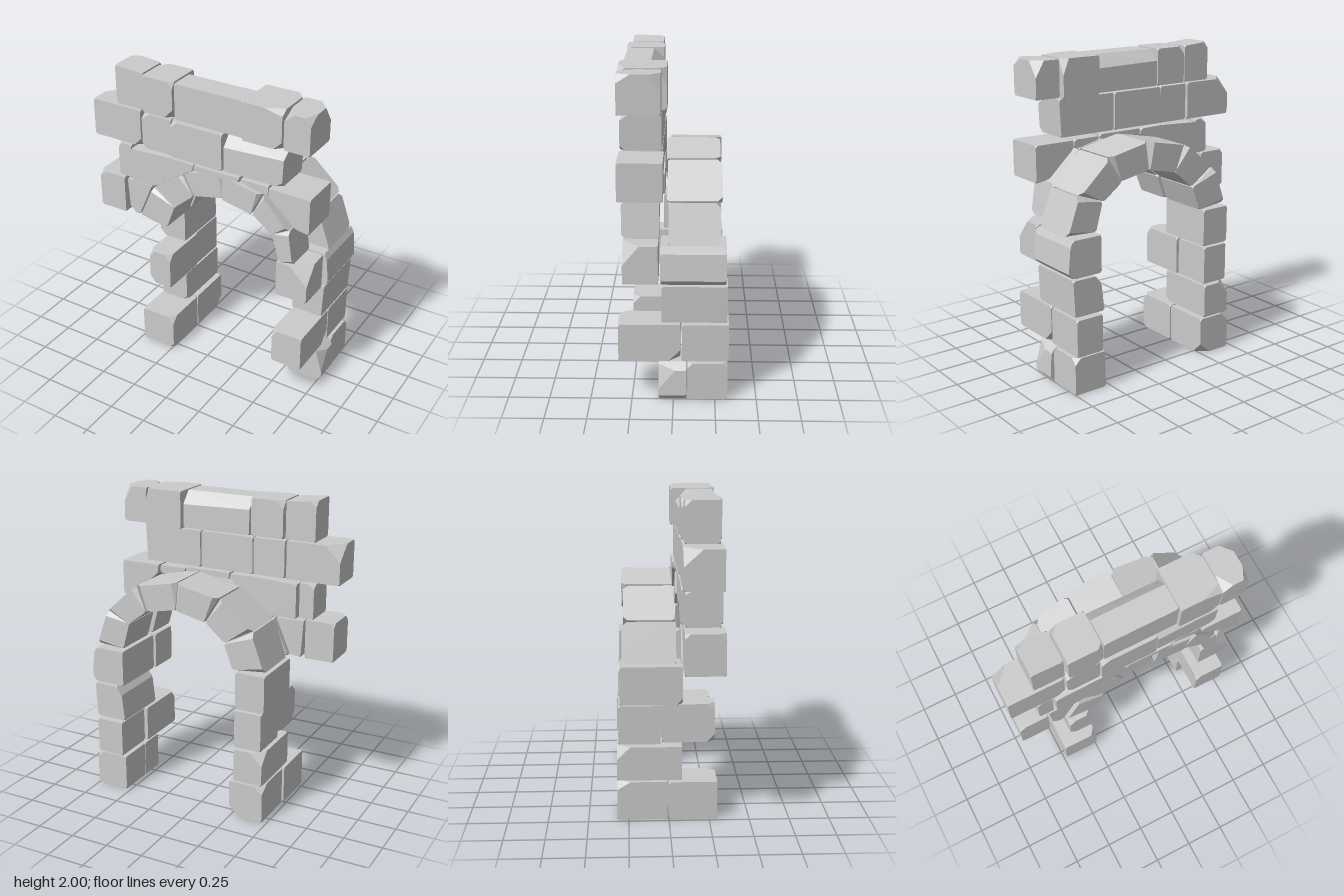
import * as THREE from 'three';
import { ConvexGeometry } from 'three/addons/geometries/ConvexGeometry.js';

const material = new THREE.MeshStandardMaterial({ color: 0xcccccc, flatShading: true });

// Counter-clockwise rectangle outline
const rect = (x0, x1, y0, y1) => [[x0, y0], [x1, y0], [x1, y1], [x0, y1]];

// Stone: convex outline from zBack to zFront with clipped corners.
// chips maps a corner (0..n-1 front, n..2n-1 back) to the cut lengths
// [towards next corner, towards previous corner, along z]; a zero makes an edge chamfer.
function stone(name, outline, zBack, zFront, chips = {}) {
  const n = outline.length;
  const points = [];
  for (let k = 0; k < 2 * n; k++) {
    const i = k % n;
    const z = k < n ? zFront : zBack;
    const corner = new THREE.Vector3(...outline[i], z);
    const targets = [
      new THREE.Vector3(...outline[(i + 1) % n], z),
      new THREE.Vector3(...outline[(i + n - 1) % n], z),
      new THREE.Vector3(...outline[i], zFront + zBack - z),
    ];
    const cut = chips[k] || [0.012, 0.012, 0.012];
    targets.forEach((target, j) => {
      if (!cut[j]) return;
      const dir = target.clone().sub(corner);
      const length = Math.min(cut[j], dir.length() * 0.9);
      points.push(corner.clone().addScaledVector(dir.normalize(), length));
    });
  }
  const mesh = new THREE.Mesh(new ConvexGeometry(points), material);
  mesh.name = name;
  return mesh;
}

function section(name, stones) {
  const group = new THREE.Group();
  group.name = name;
  stones.forEach((s, i) => group.add(stone(`${name}Stone${i + 1}`, ...s)));
  return group;
}

// Ring of wedge stones between matching inner and outer points
function archRing(name, inner, outer, zBack, zFront, trim) {
  const stones = [];
  for (let i = 0; i < inner.length - 1; i++) {
    const quad = [inner[i], outer[i], outer[i + 1], inner[i + 1]].reverse();
    const cx = quad.reduce((s, p) => s + p[0], 0) / 4;
    const cy = quad.reduce((s, p) => s + p[1], 0) / 4;
    const shrunk = quad.map(([x, y]) => [cx + (x - cx) * 0.965, cy + (y - cy) * 0.965]);
    // Outline order: inner end, outer end, outer start, inner start
    const area = shrunk.reduce((s, p, j) => {
      const q = shrunk[(j + 1) % 4];
      return s + p[0] * q[1] - q[0] * p[1];
    }, 0);
    if (area < 0) shrunk.reverse();
    stones.push([shrunk, zBack + (i % 2) * 0.01, zFront - (i % 3) * 0.008, trim]);
  }
  return section(name, stones);
}

export function createModel() {
  const model = new THREE.Group();
  model.name = 'ruinedStoneArch';

  // Pillars: courses alternate between long and short
  model.add(section('rightPillar', [
    [rect(-0.48, -0.24, 0.005, 0.25), 0.0, 0.30, { 2: [0.04, 0.05, 0.05], 1: [0.03, 0.03, 0.03] }],
    [rect(-0.47, -0.24, 0.005, 0.25), -0.32, -0.01, { 5: [0.07, 0.08, 0.07], 7: [0.05, 0.06, 0.08] }],
    [rect(-0.465, -0.27, 0.26, 0.475), -0.32, 0.08, { 1: [0.03, 0.03, 0.04], 7: [0.08, 0.08, 0.08] }],
    [rect(-0.42, -0.26, 0.49, 0.735), -0.04, 0.285, { 0: [0.04, 0.05, 0.05], 2: [0.04, 0.05, 0.04], 3: [0.05, 0.04, 0.05] }],
    [rect(-0.45, -0.27, 0.49, 0.735), -0.31, -0.05],
    [rect(-0.465, -0.27, 0.745, 0.985), -0.30, 0.085, { 0: [0.04, 0.04, 0.04] }],
  ]));
  model.add(section('leftPillar', [
    [[[0.53, 0.005], [0.74, 0.005], [0.775, 0.04], [0.765, 0.20], [0.72, 0.24], [0.53, 0.24]], -0.08, 0.09,
      { 3: [0.05, 0.12, 0.1] }],
    [rect(0.53, 0.75, 0.005, 0.24), -0.325, -0.085, { 2: [0.03, 0.03, 0.03], 6: [0.04, 0.04, 0.04] }],
    [rect(0.53, 0.735, 0.25, 0.485), -0.04, 0.33, { 5: [0.07, 0.07, 0.07], 3: [0.05, 0.04, 0.04] }],
    [rect(0.55, 0.735, 0.25, 0.485), -0.33, -0.05],
    [[[0.53, 0.505], [0.74, 0.505], [0.75, 0.735], [0.59, 0.735], [0.55, 0.68]], -0.32, 0.07],
    [rect(0.53, 0.74, 0.745, 0.98), 0.09, 0.30, { 2: [0.12, 0.12, 0.10] }],
    [[[0.54, 0.745], [0.74, 0.745], [0.775, 0.78], [0.76, 0.94], [0.74, 0.98], [0.54, 0.98]], -0.31, 0.075],
  ]));

  // Two rings of wedge stones, one behind the other
  const inner = [[-0.24, 0.99], [-0.18, 1.15], [-0.045, 1.265], [0.155, 1.31], [0.365, 1.27], [0.5, 1.17], [0.55, 0.99]];
  const backOuter = [[-0.46, 1.0], [-0.37, 1.25], [-0.14, 1.43], [0.155, 1.49], [0.45, 1.43], [0.67, 1.23], [0.755, 0.99]];
  const frontOuter = [[-0.455, 1.0], [-0.35, 1.24], [-0.15, 1.41], [0.155, 1.475], [0.43, 1.42], [0.61, 1.22], [0.645, 0.99]];
  model.add(archRing('backArch', inner, backOuter, -0.285, 0.045, {
    5: [0.03, 0, 0.03], 6: [0, 0.03, 0.03],
  }));
  model.add(archRing('frontArch', inner, frontOuter, 0.075, 0.325, {
    1: [0.025, 0, 0.025], 2: [0, 0.025, 0.025],
  }));

  // Broken wall courses around and above the arch
  model.add(section('firstCourse', [
    [rect(-0.755, -0.565, 1.005, 1.255), 0.08, 0.32, { 3: [0.04, 0.04, 0.04], 7: [0.03, 0.03, 0.03] }],
    [[[-0.535, 1.005], [-0.465, 1.01], [-0.365, 1.24], [-0.55, 1.245]], 0.085, 0.305, { 0: [0.04, 0.05, 0.05] }],
  ]));
  model.add(section('secondCourse', [
    [rect(-0.61, -0.515, 1.26, 1.485), 0.09, 0.30, { 3: [0.03, 0.03, 0.03], 7: [0.03, 0.05, 0.05] }],
    [[[-0.5, 1.255], [-0.34, 1.255], [-0.15, 1.42], [-0.045, 1.445], [-0.045, 1.485], [-0.2, 1.49], [-0.5, 1.475]], 0.07, 0.32],
    [[[-0.035, 1.45], [0.155, 1.475], [0.275, 1.46], [0.275, 1.49], [-0.035, 1.49]], 0.07, 0.325],
    [[[0.285, 1.46], [0.435, 1.425], [0.47, 1.43], [0.465, 1.48], [0.285, 1.48]], 0.07, 0.31],
    [[[0.66, 1.265], [0.75, 1.25], [0.75, 1.48], [0.48, 1.48], [0.48, 1.43]], 0.06, 0.325],
  ]));
  model.add(section('thirdCourse', [
    [rect(-0.78, -0.43, 1.505, 1.745), 0.07, 0.305, { 7: [0.1, 0.1, 0.11], 1: [0.05, 0.05, 0.04] }],
    [rect(-0.415, -0.205, 1.505, 1.74), 0.075, 0.31, { 3: [0.04, 0.06, 0.05], 0: [0.03, 0.03, 0.03] }],
    [rect(-0.2, 0.16, 1.505, 1.74), 0.07, 0.325, { 3: [0.04, 0.05, 0.04] }],
    [[[0.17, 1.505], [0.56, 1.505], [0.57, 1.74], [0.17, 1.74]], 0.07, 0.315,
      { 2: [0, 0.06, 0.08], 3: [0.08, 0, 0.07], 1: [0.03, 0.04, 0.03] }],
  ]));
  model.add(section('topCourse', [
    [[[-0.61, 1.75], [-0.415, 1.75], [-0.415, 1.985], [-0.61, 2.0]], 0.085, 0.29, { 7: [0.04, 0.04, 0.04] }],
    [rect(-0.4, -0.185, 1.75, 1.985), 0.075, 0.315, { 1: [0.06, 0.06, 0.05], 7: [0.05, 0.05, 0.05], 2: [0.03, 0.04, 0.03] }],
    [rect(-0.175, 0.29, 1.75, 1.98), 0.07, 0.305, { 6: [0, 0.08, 0.07], 7: [0.07, 0, 0.07] }],
    [rect(0.295, 0.555, 1.745, 1.985), 0.04, 0.325, { 1: [0.05, 0.05, 0.05], 2: [0.12, 0.03, 0.05], 6: [0.04, 0.1, 0.05] }],
    [rect(0.565, 0.73, 1.75, 1.98), 0.07, 0.32, { 2: [0.04, 0.05, 0.08], 3: [0.05, 0.06, 0.1], 6: [0.06, 0.1, 0.07] }],
  ]));

  return model;
}
